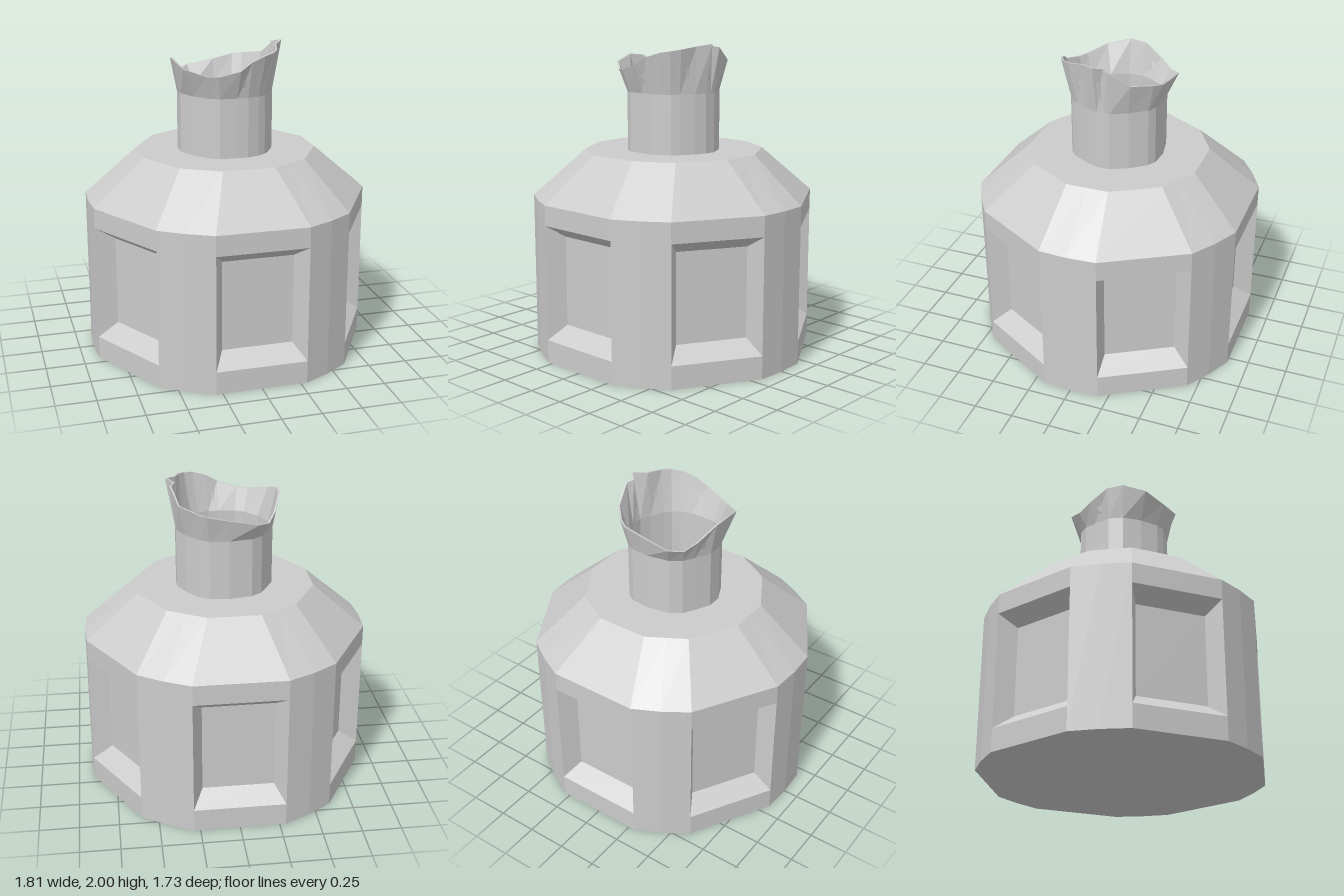
import * as THREE from 'three';

const SECTOR = Math.PI / 3;

// Collects four-cornered faces (counter-clockwise from outside) into one flat-shaded mesh
function faceMesh(name, quads, side = THREE.FrontSide) {
  const pos = [];
  for (const [a, b, c, d] of quads) {
    for (const p of [a, b, c]) pos.push(...p);
    if (d) for (const p of [a, c, d]) pos.push(...p);
  }
  const geo = new THREE.BufferGeometry();
  geo.setAttribute('position', new THREE.Float32BufferAttribute(pos, 3));
  geo.computeVertexNormals();
  const mat = new THREE.MeshStandardMaterial({ color: 0xcccccc, flatShading: true, side });
  const mesh = new THREE.Mesh(geo, mat);
  mesh.name = name;
  return mesh;
}

// Point in sector k: a = distance out along the sector normal, t = sideways offset
function at(k, a, t, y) {
  const s = Math.sin(k * SECTOR), c = Math.cos(k * SECTOR);
  return [a * s + t * c, y, a * c - t * s];
}

// Rectangle between two levels, each given as [a, t, y] corners within a sector
const sectorQuad = (k, ...pts) => pts.map(p => at(k, ...p));

// Neck outline: twelve sides, alternating wide and narrow
function neckRadius(theta) {
  const d = Math.abs(theta - Math.round(theta / SECTOR) * SECTOR);
  return Math.min(0.295 / Math.cos(d), 0.305 / Math.cos(SECTOR / 2 - d));
}

export function createModel() {
  const group = new THREE.Group();
  const A = 0.867, W = 0.29;                // wide side: distance out, half width
  const Y0 = 0, Y1 = 1.02, YT = 1.31;       // base, shoulder and top heights
  const LO = 0.147, HI = 0.89;              // window opening
  const IA = 0.756, IW = 0.225, IL = 0.237, IH = 0.813; // sunken panel
  const walls = [], frames = [], panels = [], shoulder = [], top = [], bottom = [];

  for (let k = 0; k < 6; k++) {
    // wide side: strips under and over the window
    for (const [l, h] of [[Y0, LO], [HI, Y1]])
      walls.push(sectorQuad(k, [A, -W, l], [A, W, l], [A, W, h], [A, -W, h]));

    // sloped window frame and sunken panel
    const outer = sectorQuad(k, [A, -W, LO], [A, W, LO], [A, W, HI], [A, -W, HI]);
    const inner = sectorQuad(k, [IA, -IW, IL], [IA, IW, IL], [IA, IW, IH], [IA, -IW, IH]);
    for (let i = 0; i < 4; i++) {
      const j = (i + 1) % 4;
      frames.push([outer[i], outer[j], inner[j], inner[i]]);
    }
    panels.push(inner);

    // ring points of this sector: wide side, then the slightly bowed narrow side
    const mid = (r, y) => at(k + 0.5, r, 0, y);
    const ring = (a, w, r, y) => [at(k, a, -w, y), at(k, a, w, y), mid(r, y), at(k + 1, a, -w, y)];
    const low = ring(A, W, 0.907, Y0), rim = ring(A, W, 0.907, Y1);
    const high = ring(0.556, 0.165, 0.565, YT);
    for (let i = 0; i < 3; i++) {
      if (i > 0) walls.push([low[i], low[i + 1], rim[i + 1], rim[i]]);
      shoulder.push([rim[i], rim[i + 1], high[i + 1], high[i]]);
      top.push([high[i], high[i + 1], [0, YT, 0]]);
      bottom.push([low[i + 1], low[i], [0, Y0, 0]]);
    }
  }
  group.add(
    faceMesh('bodyWalls', walls), faceMesh('windowFrames', frames),
    faceMesh('windowPanels', panels), faceMesh('shoulder', shoulder),
    faceMesh('topPlate', top), faceMesh('basePlate', bottom));

  // Broken neck: straight tube that flares into a jagged rim, rim points as [x, y, z]
  const jagged = [
    [0, 1.87, 0.365], [0.08, 1.92, 0.345], [0.17, 1.95, 0.32], [0.23, 1.96, 0.285],
    [0.27, 1.97, 0.23], [0.30, 1.985, 0.12], [0.36, 2.0, 0.04], [0.315, 1.985, -0.01],
    [0.34, 1.975, -0.05], [0.30, 1.89, -0.18], [0.20, 1.87, -0.29], [0.14, 1.86, -0.33],
    [0, 1.83, -0.33], [-0.18, 1.80, -0.33], [-0.25, 1.785, -0.26], [-0.30, 1.83, -0.18],
    [-0.345, 1.90, -0.06], [-0.355, 1.91, 0.05], [-0.32, 1.87, 0.2], [-0.2, 1.835, 0.3],
    [-0.13, 1.835, 0.335],
  ];
  const columns = jagged.map(p => {
    const th = Math.atan2(p[0], p[2]), r = neckRadius(th);
    const on = (q, y) => [q * Math.sin(th), y, q * Math.cos(th)];
    const t = 0.012, R = Math.hypot(p[0], p[2]);
    // up the outside, over the rim, down the inside
    return [on(r, YT), on(r, 1.69), p, on(R - t, p[1]), on(r - t, 1.69), on(r - t, YT)];
  });
  const neck = [];
  columns.forEach((c, i) => {
    const n = columns[(i + 1) % columns.length];
    for (let j = 0; j < 5; j++) neck.push([c[j], n[j], n[j + 1], c[j + 1]]);
  });
  group.add(faceMesh('brokenNeck', neck, THREE.DoubleSide));
  return group;
}
